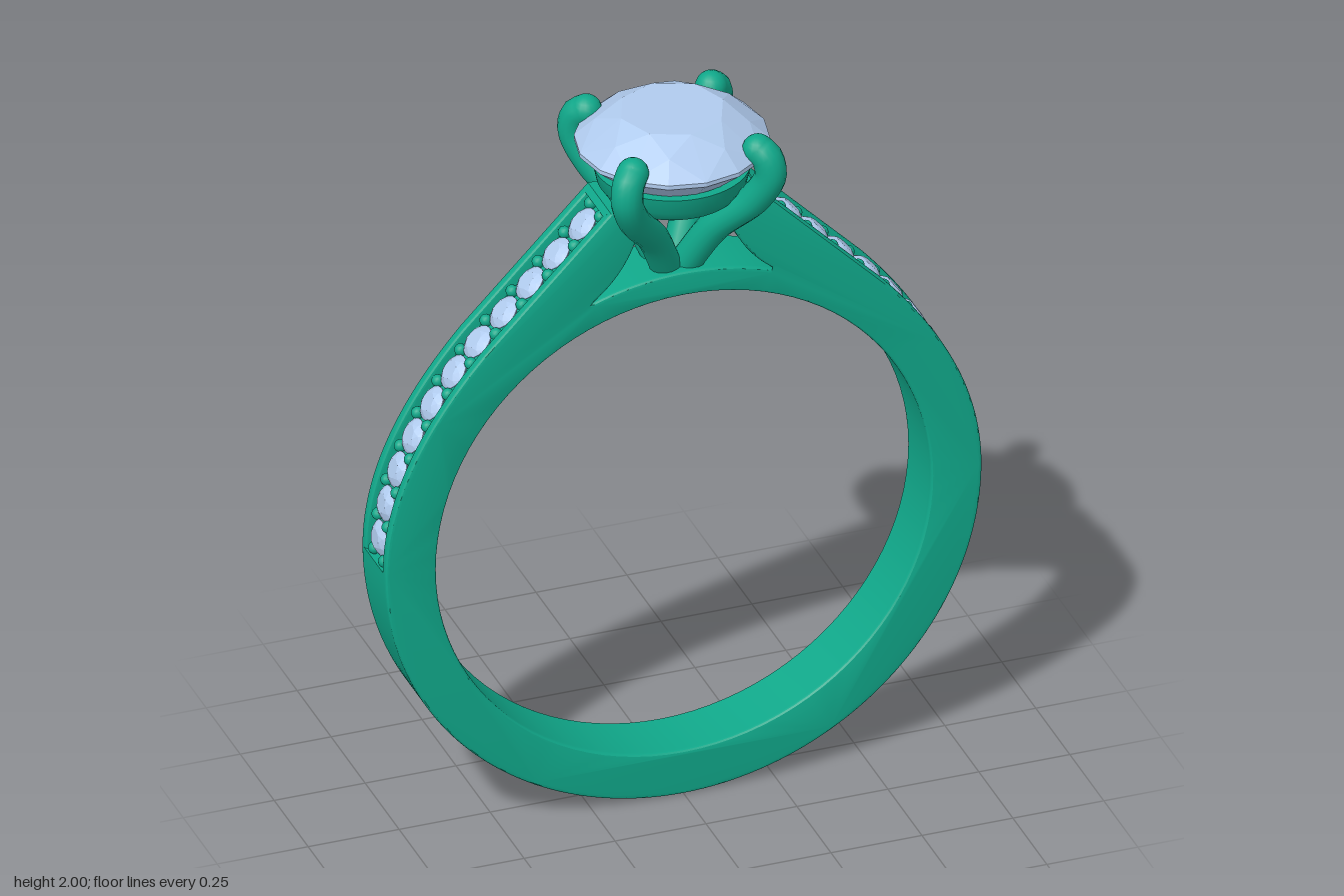
import * as THREE from 'three';
import { toCreasedNormals } from 'three/addons/utils/BufferGeometryUtils.js';
import { ConvexGeometry } from 'three/addons/geometries/ConvexGeometry.js';

const metal = new THREE.MeshStandardMaterial({ color: 0x10a88a });
const gem = new THREE.MeshStandardMaterial({ color: 0xb0cbee });

function add(parent, name, geometry, material) {
  const mesh = new THREE.Mesh(geometry, material);
  mesh.name = name;
  parent.add(mesh);
  return mesh;
}

// Band outline with raised shoulders; recess sinks the shoulder edge to form the stone channel
function bandShape(recess) {
  const r = recess, d = recess * 0.7;
  const s = new THREE.Shape();
  s.absarc(0, 0.82, 0.82, Math.PI, Math.PI * 2, false);
  if (r) s.lineTo(0.82 - r, 0.82);
  s.quadraticCurveTo(0.82 - r, 1.12 - d * 0.4, 0.55 - d, 1.42 - d);
  if (r) s.lineTo(0.215 - d, 1.76 - d).lineTo(0.215, 1.76);
  s.lineTo(0.2, 1.775);
  s.lineTo(0.13, 1.775);
  s.lineTo(0.13, 1.68);
  s.quadraticCurveTo(0.165, 1.58, 0.25, 1.517);
  s.absarc(0, 0.81, 0.75, 1.231, Math.PI - 1.231, false);
  s.quadraticCurveTo(-0.165, 1.58, -0.13, 1.68);
  s.lineTo(-0.13, 1.775);
  s.lineTo(-0.2, 1.775);
  if (r) s.lineTo(-0.215, 1.76).lineTo(-0.215 + d, 1.76 - d);
  s.lineTo(-0.55 + d, 1.42 - d);
  s.quadraticCurveTo(-0.82 + r, 1.12 - d * 0.4, -0.82 + r, 0.82);
  s.holes.push(new THREE.Path().absarc(0, 0.81, 0.68, 0, Math.PI * 2, true));
  return s;
}

// Faceted round stone of radius 0.253 with its girdle at y = 0
function stoneGeometry() {
  const points = [new THREE.Vector3(0, -0.22, 0)];
  const row = (n, r, y, shift) => {
    for (let i = 0; i < n; i++) {
      const a = ((i + shift) / n) * Math.PI * 2;
      points.push(new THREE.Vector3(r * Math.cos(a), y, r * Math.sin(a)));
    }
  };
  row(8, 0.14, 0.09, 0);
  row(8, 0.2, 0.056, 0.5);
  row(16, 0.253, 0.008, 0);
  row(16, 0.253, -0.004, 0);
  return new ConvexGeometry(points);
}

export function createModel() {
  const ring = new THREE.Group();
  ring.name = 'ring';

  // Band: a core between two bevelled side walls
  const core = new THREE.ExtrudeGeometry(bandShape(0.03), { depth: 0.15, bevelEnabled: false, curveSegments: 48 });
  core.translate(0, 0, -0.075);
  add(ring, 'bandCore', toCreasedNormals(core, 0.5), metal);
  for (const side of [1, -1]) {
    const wall = new THREE.ExtrudeGeometry(bandShape(0), {
      depth: 0.01, bevelThickness: 0.01, bevelSize: 0.01, bevelOffset: -0.01, bevelSegments: 3, curveSegments: 48,
    });
    wall.translate(0, 0, side * 0.075 - 0.005);
    add(ring, side > 0 ? 'frontWall' : 'backWall', toCreasedNormals(wall, 0.5), metal);
  }

  // Centre stone
  const stone = stoneGeometry();
  add(ring, 'centreStone', stone, gem).position.y = 1.91;

  // Tapered collet below the stone
  const profile = [[0.085, 1.755], [0.15, 1.755], [0.175, 1.77], [0.195, 1.8], [0.205, 1.845], [0.18, 1.845], [0.085, 1.755]];
  const collet = new THREE.LatheGeometry(profile.map(([x, y]) => new THREE.Vector2(x, y)), 48);
  add(ring, 'collet', toCreasedNormals(collet, 0.6), metal);

  // Four hooked prongs with rounded tips
  const prongPoints = [[0.025, 1.55], [0.085, 1.68], [0.165, 1.79], [0.197, 1.87], [0.19, 1.92], [0.172, 1.938]];
  for (const sx of [1, -1]) for (const sz of [1, -1]) {
    const prong = new THREE.Group();
    prong.name = 'prong';
    ring.add(prong);
    const path = new THREE.CatmullRomCurve3(prongPoints.map(([d, y]) => new THREE.Vector3(sx * d, y, sz * d)));
    add(prong, 'prongStem', new THREE.TubeGeometry(path, 32, 0.042, 16), metal);
    add(prong, 'prongTip', new THREE.SphereGeometry(0.042, 16, 12), metal).position.copy(path.getPoint(1));
  }

  // Small stones and holding beads along both shoulders
  const shoulder = new THREE.CurvePath();
  shoulder.add(new THREE.QuadraticBezierCurve(
    new THREE.Vector2(0.82, 0.82), new THREE.Vector2(0.82, 1.12), new THREE.Vector2(0.55, 1.42)));
  shoulder.add(new THREE.LineCurve(new THREE.Vector2(0.55, 1.42), new THREE.Vector2(0.2, 1.775)));
  const bead = new THREE.SphereGeometry(0.017, 12, 8);
  const up = new THREE.Vector3(0, 1, 0);
  const count = 11, first = 0.056, pitch = (0.93 - first) / (count - 1);
  for (const side of [1, -1]) {
    const row = new THREE.Group();
    row.name = side > 0 ? 'leftShoulderStones' : 'rightShoulderStones';
    ring.add(row);
    const place = (mesh, u, sink, z) => {
      const p = shoulder.getPointAt(u), t = shoulder.getTangentAt(u);
      const normal = new THREE.Vector3(side * t.y, -t.x, 0).normalize();
      mesh.position.set(side * p.x, p.y, z).addScaledVector(normal, -sink);
      mesh.quaternion.setFromUnitVectors(up, normal);
    };
    for (let i = 0; i <= count; i++) {
      const u = first + i * pitch;
      if (i < count) {
        const small = add(row, 'smallStone', stone, gem);
        small.scale.setScalar(0.19);
        place(small, u, 0.016, 0);
      }
      for (const z of [0.037, -0.037]) place(add(row, 'bead', bead, metal), u - pitch / 2, 0.016, z);
    }
  }
  return ring;
}
